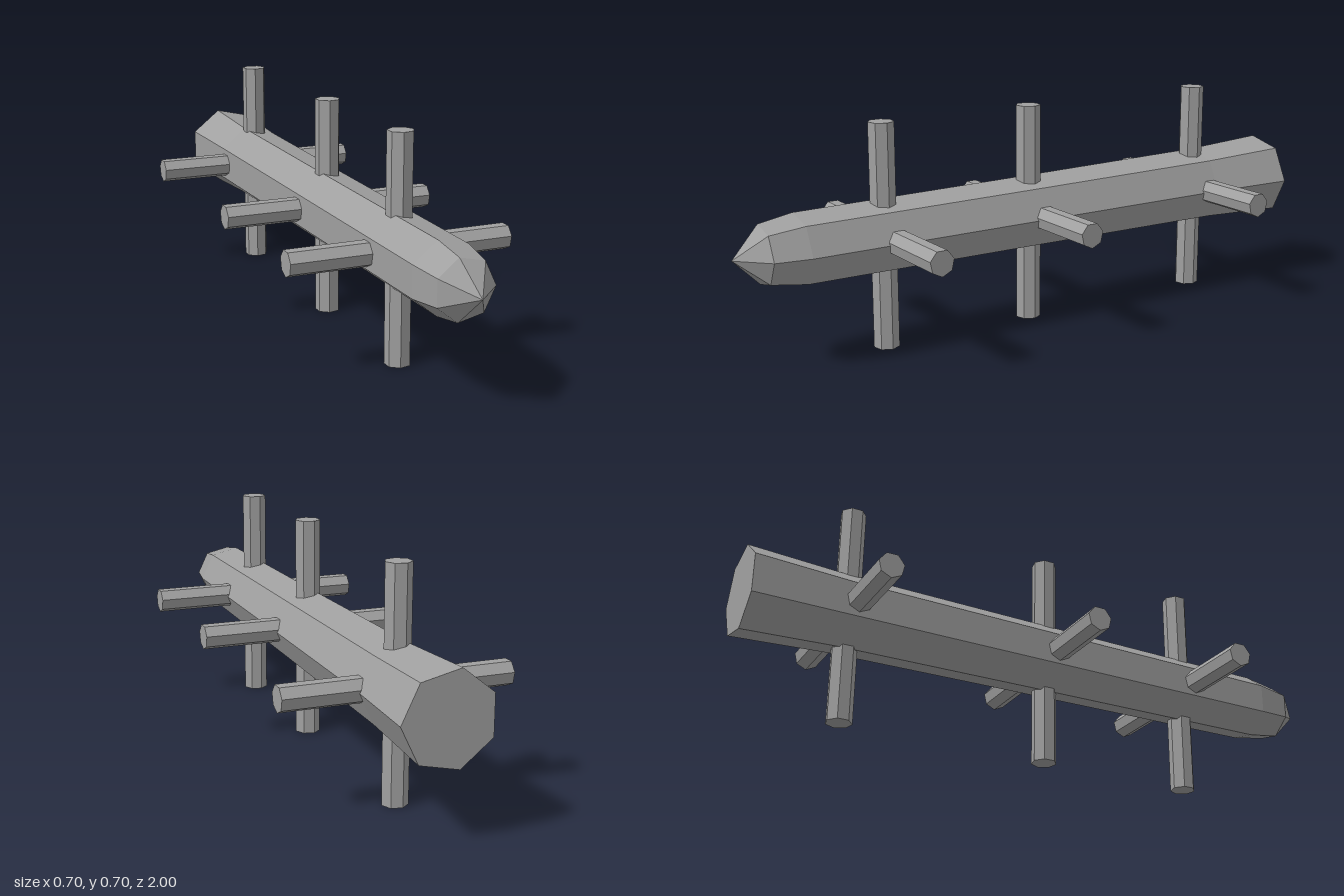
import * as THREE from 'three';

const SIDES = 7;
const AXIS_Y = 0.35;
const PIN_RADIUS = 0.04;
const PIN_LENGTH = 0.698;

export function createModel() {
  const model = new THREE.Group();
  model.name = 'spikedShaft';
  const grey = new THREE.MeshStandardMaterial({ color: 0xa0a0a0, flatShading: true });
  grey.name = 'stone grey';

  // Seven-sided tapering shaft: flat flared back, pointed front
  const profile = [
    [0, -1], [0.14, -1], [0.125, -0.7], [0.117, 0], [0.11, 0.8], [0.092, 0.91], [0, 1],
  ].map(([r, z]) => new THREE.Vector2(r, z));
  const shaftGeometry = new THREE.LatheGeometry(profile, SIDES, Math.PI / 2);
  shaftGeometry.rotateX(Math.PI / 2);
  const shaft = new THREE.Mesh(shaftGeometry, grey);
  shaft.name = 'shaft';
  shaft.position.y = AXIS_Y;
  model.add(shaft);

  // Crossed pins running right through the shaft
  const pinGeometry = new THREE.CylinderGeometry(
    PIN_RADIUS, PIN_RADIUS, PIN_LENGTH, SIDES, 1, false, Math.PI / 2);
  [['front', 0.52], ['middle', 0], ['back', -0.675]].forEach(([place, z]) => {
    const cross = new THREE.Group();
    cross.name = place + 'Pins';
    cross.position.set(0, AXIS_Y, z);
    const upright = new THREE.Mesh(pinGeometry, grey);
    upright.name = 'uprightPin';
    const sideways = new THREE.Mesh(pinGeometry, grey);
    sideways.name = 'sidewaysPin';
    sideways.rotation.z = -Math.PI / 2;
    cross.add(upright, sideways);
    model.add(cross);
  });

  return model;
}
